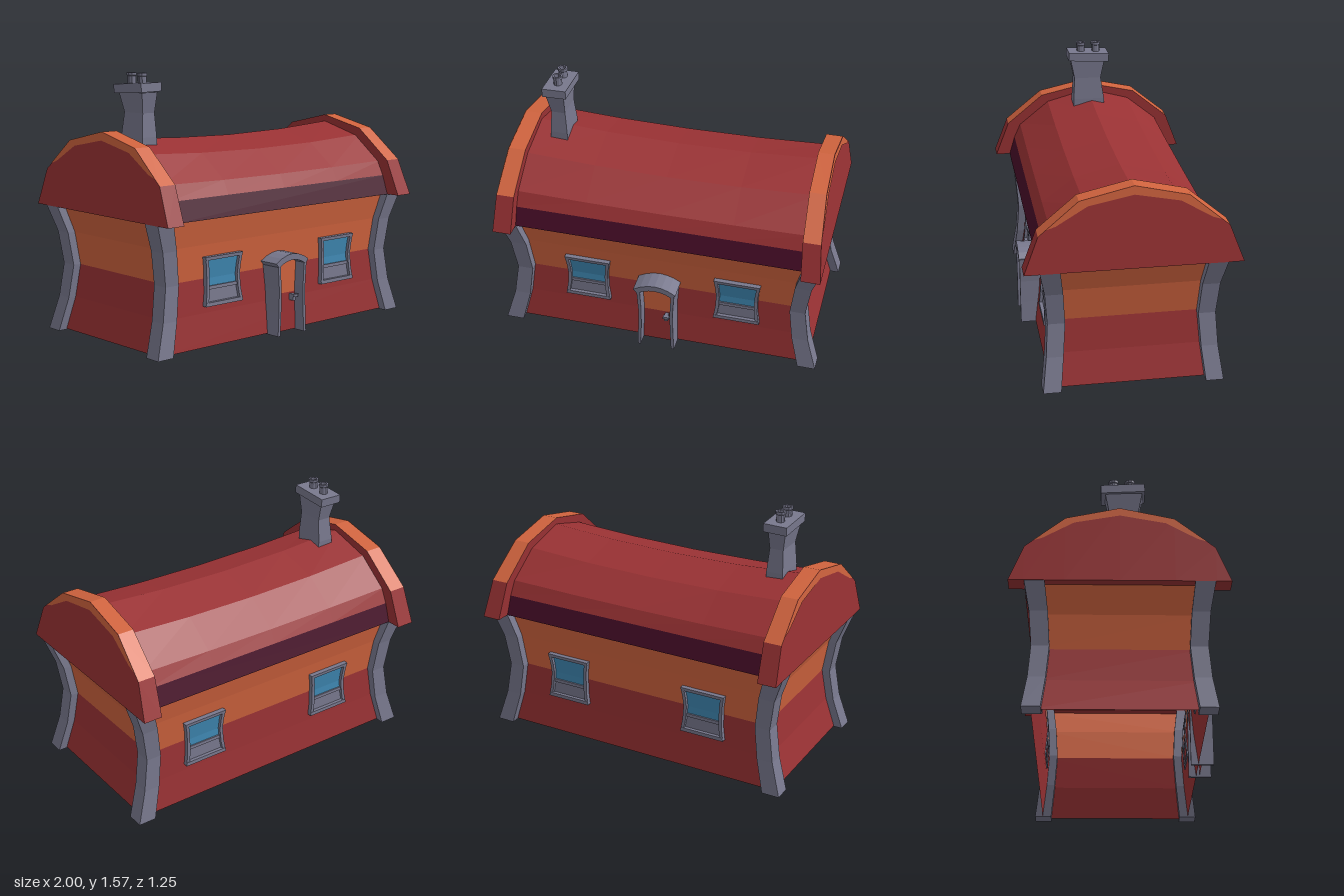
import * as THREE from 'three';

const material = (name, color) => {
  const m = new THREE.MeshStandardMaterial({ color, flatShading: true, side: THREE.DoubleSide });
  m.name = name;
  return m;
};

export function createModel() {
  const red = material('brickRed', 0x9a3234);
  const orange = material('orange', 0xd0633e);
  const grey = material('stoneGrey', 0x78788d);
  const blue = material('glassBlue', 0x3f88b3);
  const plum = material('darkPlum', 0x480d28);
  const model = new THREE.Group();
  model.name = 'cottage';

  const add = (name, geo, mat, parent = model) => {
    const mesh = new THREE.Mesh(geo, mat);
    mesh.name = name;
    parent.add(mesh);
    return mesh;
  };
  const fromTriangles = (pos) => {
    const g = new THREE.BufferGeometry();
    g.setAttribute('position', new THREE.Float32BufferAttribute(pos, 3));
    g.computeVertexNormals();
    return g;
  };
  const quad = (out, a, b, c, d) => out.push(...a, ...b, ...c, ...a, ...c, ...d);

  // Surface through equal-length rows of points
  const surface = (rows) => {
    const out = [];
    for (let i = 0; i < rows.length - 1; i++)
      for (let j = 0; j < rows[i].length - 1; j++)
        quad(out, rows[i][j], rows[i][j + 1], rows[i + 1][j + 1], rows[i + 1][j]);
    return fromTriangles(out);
  };

  // Stack of rectangles [y, xa, xb, za, zb], closed at both ends
  const stack = (sections) => {
    const rings = sections.map(([y, xa, xb, za, zb]) => {
      const x0 = Math.min(xa, xb), x1 = Math.max(xa, xb);
      const z0 = Math.min(za, zb), z1 = Math.max(za, zb);
      return [[x0, y, z0], [x0, y, z1], [x1, y, z1], [x1, y, z0]];
    });
    const out = [];
    for (let i = 0; i < rings.length - 1; i++)
      for (let k = 0; k < 4; k++) {
        const n = (k + 1) % 4;
        quad(out, rings[i][k], rings[i][n], rings[i + 1][n], rings[i + 1][k]);
      }
    quad(out, ...rings[rings.length - 1]);
    quad(out, ...[...rings[0]].reverse());
    return fromTriangles(out);
  };

  // Pinched walls: [y, half width, half depth]
  const wall = [[0.005, 0.945, 0.48], [0.2, 0.89, 0.455], [0.4, 0.86, 0.44], [0.6, 0.89, 0.455], [0.76, 0.945, 0.48]];
  const wallZ = (y) => {
    const i = Math.max(0, Math.min(3, wall.findIndex((w) => w[0] > y) - 1));
    const [a, b] = [wall[i], wall[i + 1]];
    return a[2] + (b[2] - a[2]) * (y - a[0]) / (b[0] - a[0]);
  };
  const wallRow = ([y, x, z]) => [[-x, y, -z], [-x, y, z], [x, y, z], [x, y, -z], [-x, y, -z]];
  add('lowerWalls', surface(wall.slice(0, 3).map(wallRow)), red);
  add('upperWalls', surface(wall.slice(2).map(wallRow)), orange);

  // Curved corner pillars: [y, inner x, outer x, inner z, outer z]
  const pillar = [
    [0, 0.89, 1, 0.425, 0.53], [0.2, 0.84, 0.94, 0.403, 0.503], [0.4, 0.815, 0.91, 0.388, 0.49],
    [0.6, 0.84, 0.94, 0.4, 0.505], [0.76, 0.885, 0.998, 0.42, 0.535]];
  for (const sx of [-1, 1]) for (const sz of [-1, 1])
    add('cornerPillar', stack(pillar.map(([y, a, b, c, d]) => [y, sx * a, sx * b, sz * c, sz * d])), grey);

  // Sagging roof: half profile [z, y], mirrored front to back
  const roofHalf = [[0.5, 0.88], [0.46, 0.97], [0.27, 1.125], [0, 1.2]];
  const roofProfile = [...roofHalf, ...roofHalf.slice(0, 3).reverse().map(([z, y]) => [-z, y])];
  const xs = [-0.9, -0.45, 0, 0.45, 0.9];
  const sag = (x, y) => y - 0.038 * (1 - (x / 0.9) ** 2) * (y - 0.88) / 0.32;
  add('roof', surface(roofProfile.map(([z, y]) => xs.map((x) => [x, sag(x, y), z]))), red);
  for (const s of [-1, 1]) {
    add('eaveBand', surface([[0.535, 0.76], [0.5, 0.88]].map(([z, y]) => [-0.9, 0.9].map((x) => [x, y, s * z]))), plum);
    add('soffit', surface([0.535, 0.475].map((z) => [-0.9, 0.9].map((x) => [x, 0.761, s * z]))), red);
  }

  // Thick arched gables leaning slightly inwards
  const arch = [[0.625, 0.76], [0.54, 0.98], [0.31, 1.17], [0, 1.24], [-0.31, 1.17], [-0.54, 0.98], [-0.625, 0.76]];
  const trim = [[0.495, 1.017], [0.44, 1.035], [0.26, 1.14], [0, 1.19], [-0.26, 1.14], [-0.44, 1.035], [-0.495, 1.017]];
  const trimOuter = [[0.495, 1.017], [0.45, 1.054], [0.31, 1.17], [0, 1.24], [-0.31, 1.17], [-0.45, 1.054], [-0.495, 1.017]];
  for (const [s, topOut, topIn] of [[-1, 0.973, 0.87], [1, 0.953, 0.855]]) {
    const gable = new THREE.Group();
    gable.name = s < 0 ? 'rightGable' : 'leftGable';
    model.add(gable);
    const at = (bottom, top, off = 0) => ([z, y]) =>
      [s * (bottom + (top - bottom) * (y - 0.76) / 0.48 + off), y, z];
    const outer = at(1, topOut), inner = at(0.885, topIn);
    const band = (pts) => surface([pts.map(outer), pts.map(inner)]);
    add('gableArch', band(arch.slice(1, 6)), orange, gable);
    add('gableSide', band(arch.slice(0, 2)), red, gable);
    add('gableSide', band(arch.slice(5)), red, gable);
    add('gableUnderside', band([arch[0], arch[6]]), red, gable);
    for (const place of [outer, inner])
      add('gableFace', surface([arch.map(place), arch.map(([z]) => place([z, 0.76]))]), red, gable);
    const front = at(1, topOut, 0.003);
    add('gableTrim', surface([trimOuter.map(front), trim.map(front)]), orange, gable);
  }

  // Crooked chimney with cap and two pots
  const chimney = new THREE.Group();
  chimney.name = 'chimney';
  model.add(chimney);
  add('chimneyStack', stack([
    [1.1, -0.775, -0.667, -0.08, 0.12], [1.2, -0.773, -0.668, -0.08, 0.12],
    [1.34, -0.763, -0.677, -0.06, 0.112], [1.46, -0.785, -0.673, -0.085, 0.135]]), grey, chimney);
  const cap = add('chimneyCap', new THREE.BoxGeometry(0.148, 0.052, 0.26), grey, chimney);
  cap.position.set(-0.728, 1.484, 0.02);
  cap.rotation.set(-0.05, 0, 0.02);
  for (const z of [-0.034, 0.064]) {
    const pot = add('chimneyPot', new THREE.LatheGeometry(
      [[0.026, 0], [0.026, 0.05], [0.031, 0.054], [0.031, 0.07], [0.02, 0.07], [0.02, 0.04], [0, 0.04]]
        .map(([r, y]) => new THREE.Vector2(r, y)), 10), grey, chimney);
    pot.position.set(-0.728, 1.5, z);
  }

  // Sash windows, two on each long wall
  const halfWidth = (y) => 0.128 + 0.75 * (y - 0.385) ** 2;
  const levels = [0.24, 0.32, 0.4, 0.46, 0.53];
  const makeWindow = (cx, sz) => {
    const win = new THREE.Group();
    win.name = 'window';
    model.add(win);
    const bar = (y0, y1, out) => stack([y0, y1].map((y) => {
      const w = halfWidth(y);
      return [y, cx - w, cx + w, sz * (wallZ(y) - 0.008), sz * (wallZ(y) + out)];
    }));
    for (const side of [-1, 1])
      add('windowJamb', stack(levels.map((y) => [y, cx + side * halfWidth(y), cx + side * (halfWidth(y) - 0.02),
        sz * (wallZ(y) - 0.008), sz * (wallZ(y) + 0.028)])), grey, win);
    add('windowSill', bar(0.24, 0.262, 0.03), grey, win);
    add('windowLintel', bar(0.51, 0.53, 0.03), grey, win);
    add('windowRail', bar(0.335, 0.355, 0.018), grey, win);
    const pane = (ys) => surface(ys.map((y) => [-1, 1].map((d) =>
      [cx + d * (halfWidth(y) - 0.015), y, sz * (wallZ(y) + 0.009)])));
    add('windowPanel', pane([0.255, 0.345]), grey, win);
    add('windowGlass', pane([0.345, 0.4, 0.515]), blue, win);
  };
  for (const cx of [-0.46, 0.485]) for (const sz of [-1, 1]) makeWindow(cx, sz);

  // Arched doorway
  const door = new THREE.Group();
  door.name = 'doorway';
  model.add(door);
  for (const s of [-1, 1])
    add('doorPost', stack([[0, 0.098, 0.117], [0.14, 0.092, 0.111], [0.28, 0.09, 0.108], [0.43, 0.098, 0.118]]
      .map(([y, a, b]) => [y, s * a, s * b, 0.435, 0.572])), grey, door);
  const lintel = new THREE.Shape();
  lintel.moveTo(-0.115, 0.418);
  lintel.lineTo(-0.138, 0.445);
  lintel.quadraticCurveTo(0, 0.538, 0.128, 0.445);
  lintel.lineTo(0.108, 0.418);
  lintel.quadraticCurveTo(0, 0.49, -0.115, 0.418);
  const lintelGeo = new THREE.ExtrudeGeometry(lintel, { depth: 0.14, bevelEnabled: false, curveSegments: 6 });
  add('doorLintel', lintelGeo.translate(0, 0, 0.437), grey, door);
  const leaf = (rows) => surface(rows.map(([y, w]) => [[-w, y, 0.5], [w, y, 0.5]]));
  add('doorLower', leaf([[0.005, 0.102], [0.14, 0.097], [0.24, 0.096]]), red, door);
  add('doorUpper', leaf([[0.24, 0.096], [0.425, 0.1], [0.45, 0.055]]), orange, door);
  add('doorHandle', new THREE.BoxGeometry(0.038, 0.016, 0.02).translate(0.058, 0.222, 0.535), grey, door);
  add('doorLatch', new THREE.BoxGeometry(0.022, 0.04, 0.035).translate(0.056, 0.21, 0.515), grey, door);

  return model;
}
